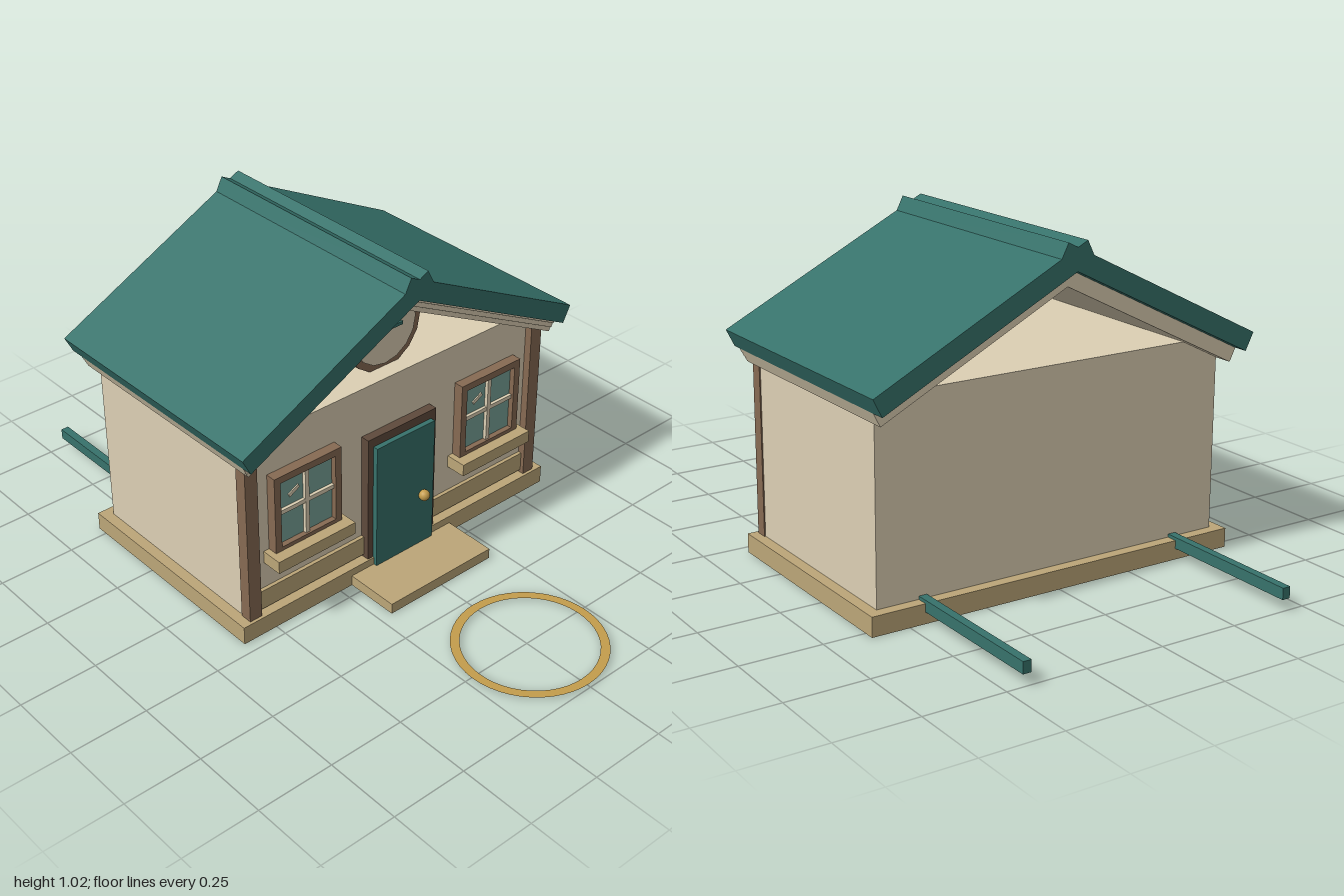
import * as THREE from 'three';

const mat = (color) => new THREE.MeshStandardMaterial({ color, flatShading: true });

export function createModel() {
  const model = new THREE.Group();
  model.name = 'cottage';
  const cream = mat(0xddd0b4), tan = mat(0xbca678), teal = mat(0x37726b);
  const brown = mat(0x866a53), darkBrown = mat(0x5f4a3c), glass = mat(0x78a398);
  const gold = mat(0xc49d4c);

  const add = (name, geometry, material, parent = model) => {
    const mesh = new THREE.Mesh(geometry, material);
    mesh.name = name;
    parent.add(mesh);
    return mesh;
  };
  // Box given by its minimum and maximum on each axis
  const box = (name, material, x0, x1, y0, y1, z0, z1, parent = model) => {
    const mesh = add(name, new THREE.BoxGeometry(x1 - x0, y1 - y0, z1 - z0), material, parent);
    mesh.position.set((x0 + x1) / 2, (y0 + y1) / 2, (z0 + z1) / 2);
    return mesh;
  };

  // Foundation, step and closed body
  box('foundation', tan, -0.62, 0.62, 0, 0.06, -0.535, 0.21);
  box('doorStep', tan, -0.205, 0.203, 0, 0.035, 0.2, 0.39);
  box('walls', cream, -0.585, 0.585, 0.06, 0.66, -0.5, 0.175);
  box('skirting', tan, -0.546, 0.546, 0.07, 0.135, 0.17, 0.187);

  // Roof layers: slabs hung below the pitch line, crossing at the ridge
  const pitch = Math.atan(0.504), c = Math.cos(pitch), s = Math.sin(pitch);
  const slab = (name, material, side, drop, thick, length, z0, z1) => {
    const mid = drop + thick / 2;
    const mesh = add(name, new THREE.BoxGeometry(length, thick, z1 - z0), material);
    mesh.position.set(side * (0.642 - (length / 2) * c - mid * s),
      0.685 + (length / 2) * s - mid * c, (z0 + z1) / 2);
    mesh.rotation.z = -side * pitch;
  };

  for (const side of [-1, 1]) {
    slab('roofSlab', teal, side, 0, 0.06, 0.755, -0.595, 0.265);
    slab('roofLining', cream, side, 0.06, 0.045, 0.7, -0.55, 0.22);
    // Stepped gable mouldings
    [0.06, 0.075, 0.09].forEach((drop, i) =>
      slab('gableMoulding', cream, side, drop, 0.014, 0.7, 0.21, 0.232 - i * 0.003));

    // Corner post
    const px = side * 0.567;
    box('cornerPost', brown, px - 0.022, px + 0.022, 0.06, 0.63, 0.16, 0.2);

    // Rear handle bar
    const hx = side * 0.438;
    box('rearBar', teal, hx - 0.013, hx + 0.013, 0.035, 0.07, -1, -0.5);

    // Window with frame, cross bars, sill and glint
    const win = new THREE.Group();
    win.name = 'window';
    win.position.x = side * 0.367;
    model.add(win);
    const frame = new THREE.Shape();
    frame.moveTo(-0.125, 0.262).lineTo(0.125, 0.262).lineTo(0.125, 0.525).lineTo(-0.125, 0.525);
    const opening = new THREE.Path();
    opening.moveTo(-0.102, 0.278).lineTo(-0.102, 0.502).lineTo(0.102, 0.502).lineTo(0.102, 0.278);
    frame.holes.push(opening);
    add('windowFrame', new THREE.ExtrudeGeometry(frame, { depth: 0.04, bevelEnabled: false }),
      brown, win).position.z = 0.168;
    box('windowPane', glass, -0.105, 0.105, 0.275, 0.505, 0.17, 0.19, win);
    box('verticalBar', cream, -0.007, 0.007, 0.278, 0.502, 0.185, 0.202, win);
    box('horizontalBar', cream, -0.102, 0.102, 0.385, 0.399, 0.185, 0.2, win);
    box('windowSill', tan, -0.145, 0.145, 0.224, 0.265, 0.17, 0.245, win);
    const glint = box('glint', cream, -0.063, -0.021, 0.436, 0.448, 0.186, 0.194, win);
    glint.rotation.z = 0.5;
  }

  // Door
  box('doorFrame', darkBrown, -0.136, 0.136, 0.035, 0.495, 0.17, 0.205);
  box('door', teal, -0.116, 0.116, 0.035, 0.466, 0.19, 0.222);
  const knob = add('doorKnob', new THREE.SphereGeometry(0.018, 16, 12),
    new THREE.MeshStandardMaterial({ color: 0xc49d4c }));
  knob.position.set(0.07, 0.218, 0.232);

  // Gable clock
  const clock = new THREE.Group();
  clock.name = 'clock';
  clock.position.set(0, 0.79, 0.1);
  model.add(clock);
  const disc = (name, r, depth, z, material) => {
    const mesh = add(name, new THREE.CylinderGeometry(r, r, depth, 16), material, clock);
    mesh.rotation.x = Math.PI / 2;
    mesh.position.z = z;
  };
  disc('clockRim', 0.142, 0.04, 0, brown);
  disc('clockFace', 0.119, 0.01, 0.02, cream);
  box('minuteHand', teal, -0.005, 0.005, -0.005, 0.066, 0.024, 0.032, clock);
  box('hourHand', teal, -0.005, 0.064, -0.008, 0.002, 0.024, 0.031, clock);

  // Flat hoop lying in front of the step
  gold.side = THREE.DoubleSide;
  const hoop = add('groundRing', new THREE.RingGeometry(0.205, 0.233, 48), gold);
  hoop.rotation.x = -Math.PI / 2;
  hoop.position.set(0, 0.01, 0.762);

  return model;
}
